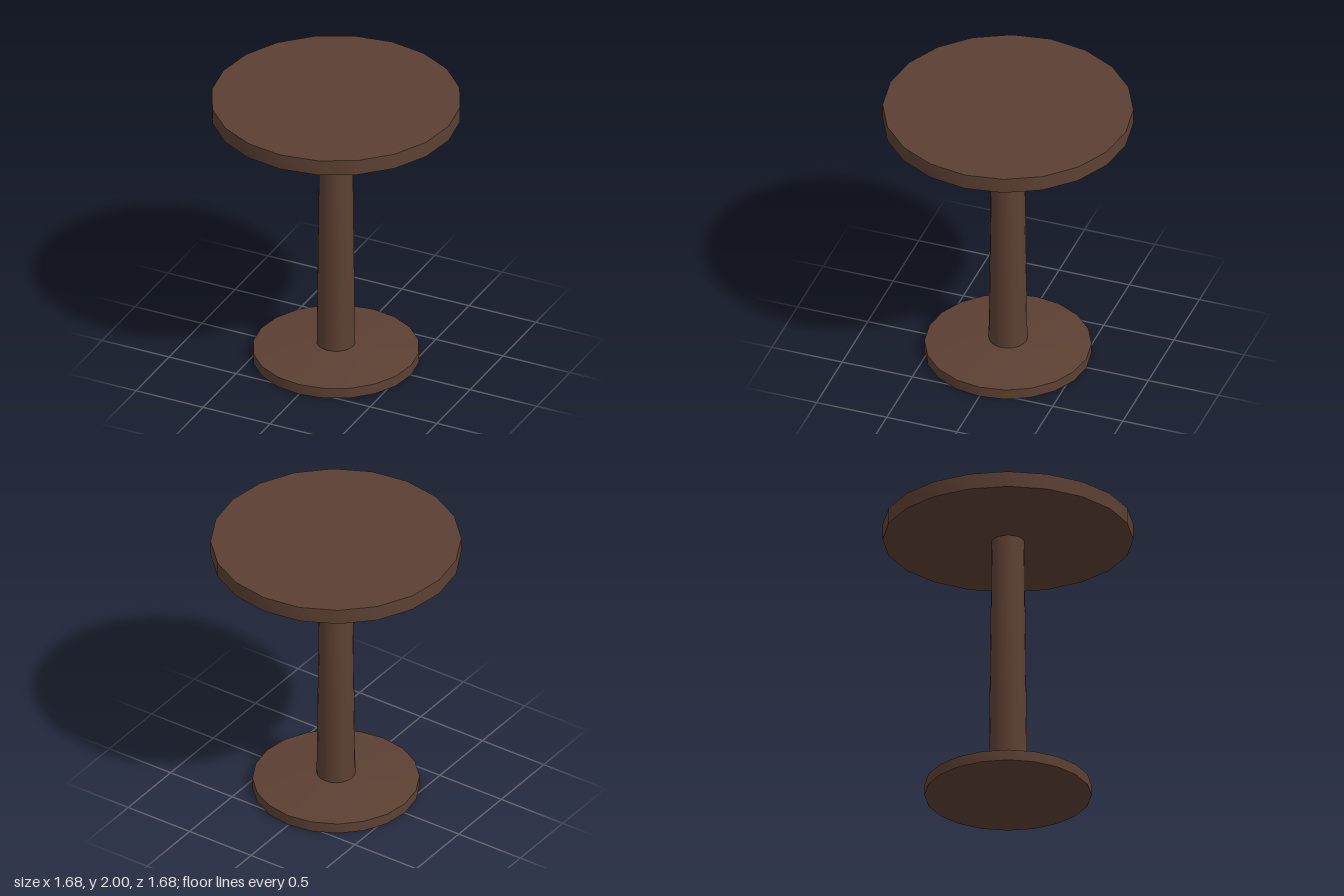
import * as THREE from 'three';
import { toCreasedNormals } from 'three/addons/utils/BufferGeometryUtils.js';

const SIDES = 20;

export function createModel() {
  const group = new THREE.Group();
  group.name = 'pedestalTable';
  const wood = new THREE.MeshStandardMaterial({ color: 0x5c4033 });
  wood.name = 'dark brown wood';

  // Turned part from a [radius, height] profile listed bottom to top
  const turned = (name, profile) => {
    const points = profile.map(([r, y]) => new THREE.Vector2(r, y));
    const geometry = toCreasedNormals(new THREE.LatheGeometry(points, SIDES), 0.6);
    const mesh = new THREE.Mesh(geometry, wood);
    mesh.name = name;
    group.add(mesh);
  };

  // Foot disc with a shallow sloping top
  turned('base', [[0, 0], [0.56, 0], [0.56, 0.075], [0.13, 0.115], [0, 0.115]]);
  // Slightly tapered column
  turned('column', [[0, 0.11], [0.13, 0.11], [0.11, 1.88], [0, 1.88]]);
  // Round top with a shallow conical underside
  turned('tabletop', [[0, 1.87], [0.11, 1.87], [0.84, 1.89], [0.84, 2], [0, 2]]);

  return group;
}
